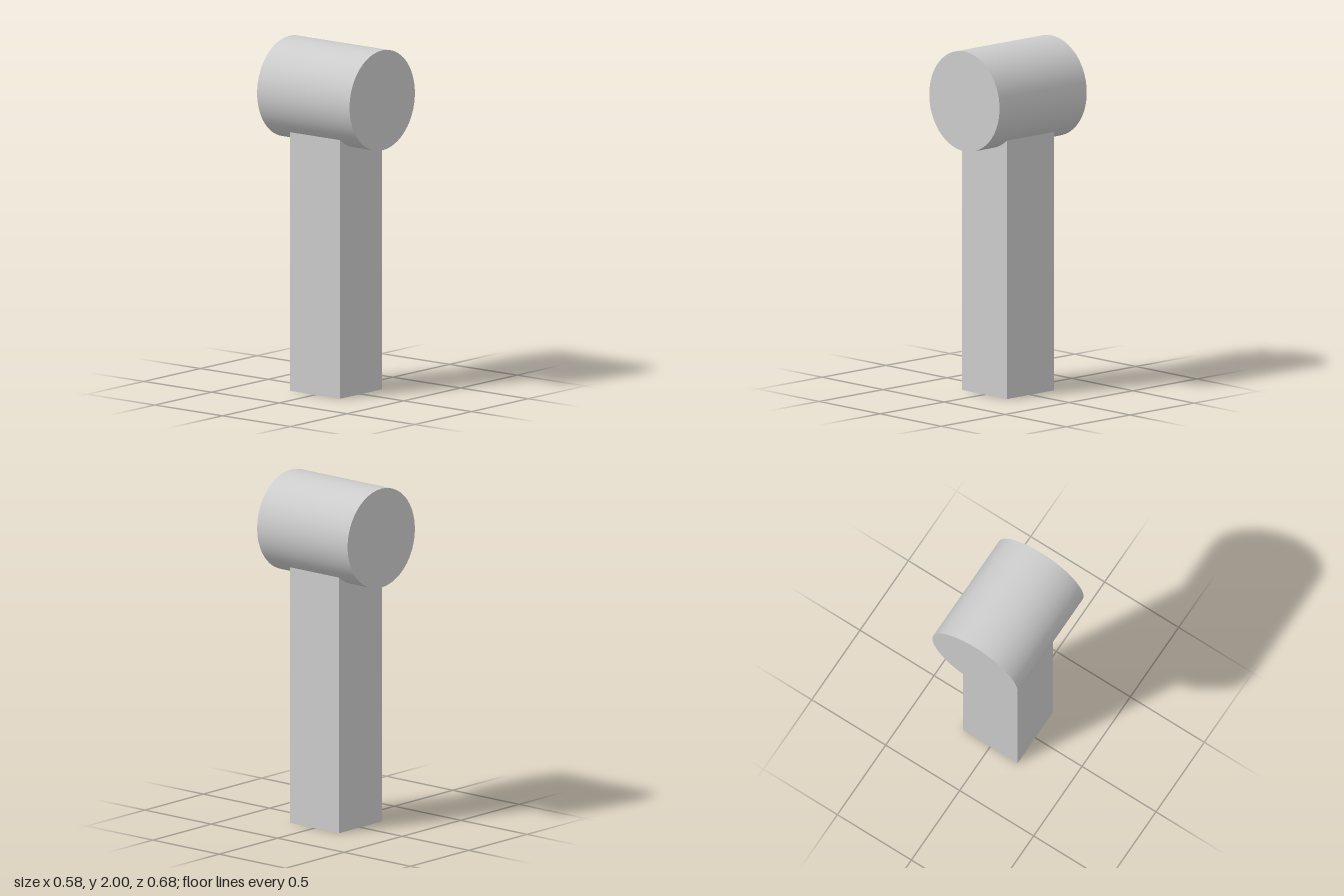
import * as THREE from 'three';

const RADIUS = 0.288;   // head radius
const LENGTH = 0.682;   // head length along z
const WIDTH = 0.368;    // square post width
const HEAD_Y = 2 - RADIUS;

export function createModel() {
  const group = new THREE.Group();
  const grey = new THREE.MeshStandardMaterial({ color: 0xcccccc });
  grey.name = 'lightGrey';

  // Square post, its top buried inside the head
  const postHeight = HEAD_Y - 0.1;
  const post = new THREE.Mesh(new THREE.BoxGeometry(WIDTH, postHeight, WIDTH), grey);
  post.name = 'post';
  post.position.y = postHeight / 2;

  // Cylindrical head lying along z
  const head = new THREE.Mesh(new THREE.CylinderGeometry(RADIUS, RADIUS, LENGTH, 64), grey);
  head.name = 'head';
  head.rotation.x = Math.PI / 2;
  head.position.y = HEAD_Y;

  group.add(post, head);
  return group;
}
